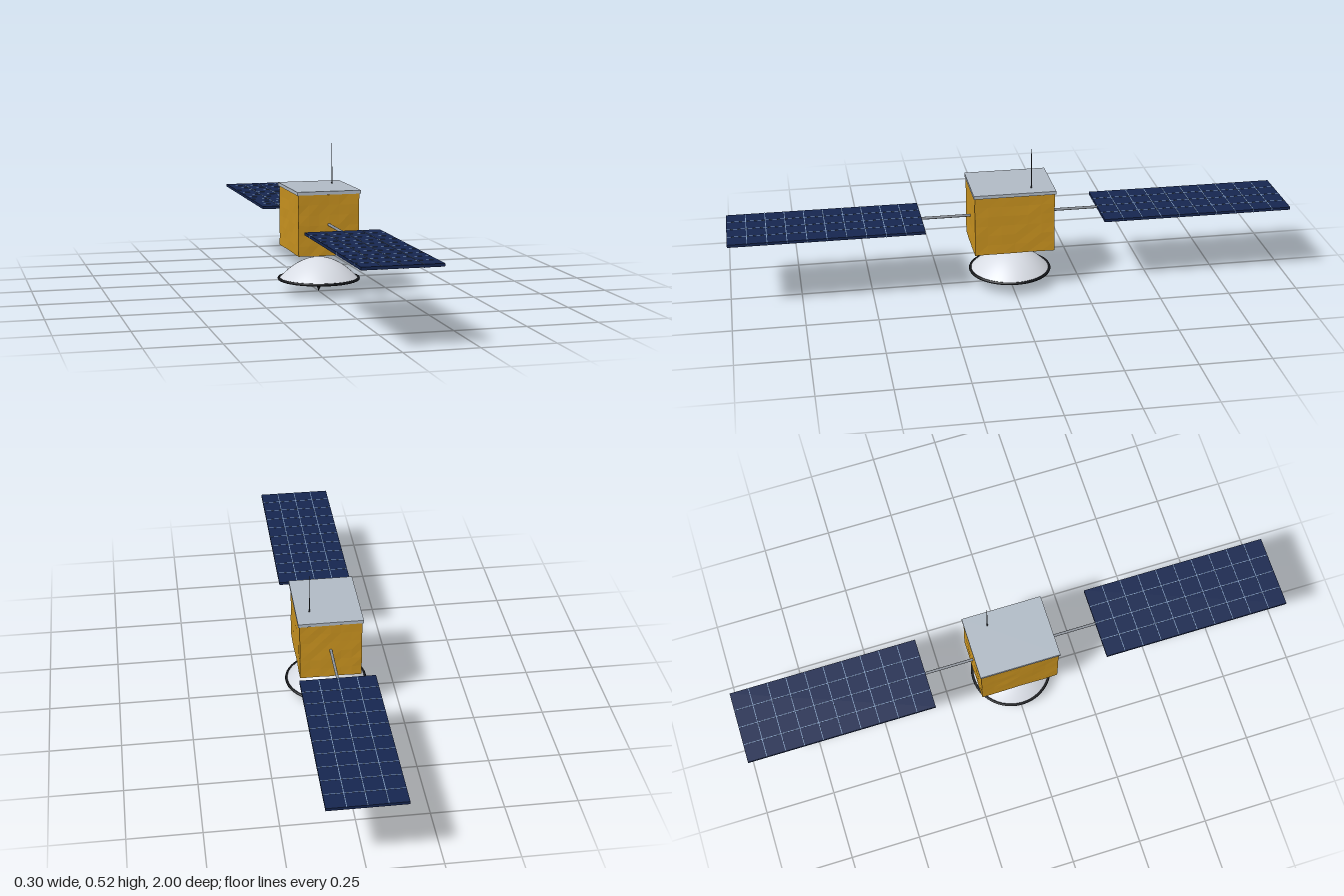
import * as THREE from 'three';

const mat = (color, extra = {}) => {
  const m = new THREE.MeshStandardMaterial({ color, ...extra });
  return m;
};
const gold = mat(0xc8921f, { flatShading: true });
const silver = mat(0xb0bac5);
const navy = mat(0x16264f);
const lineBlue = mat(0x7d97b8);
const white = mat(0xd8dce4, { side: THREE.DoubleSide });
const black = mat(0x14161a);
const steel = mat(0x8a9098);
const darkSteel = mat(0x44484e);

function add(parent, name, geometry, material, x = 0, y = 0, z = 0) {
  const mesh = new THREE.Mesh(geometry, material);
  mesh.name = name;
  mesh.position.set(x, y, z);
  parent.add(mesh);
  return mesh;
}

// Box wrapped in slightly crumpled foil; the offset depends on position only, so seams stay closed
function foilBox(w, h, d) {
  const g = new THREE.BoxGeometry(w, h, d, 6, 6, 6);
  const p = g.attributes.position;
  const v = new THREE.Vector3();
  const wobble = (a, b, c, s) => {
    const n = Math.sin(Math.round(a * 1000) * 12.99 + Math.round(b * 1000) * 78.23 + Math.round(c * 1000) * 37.72 + s) * 43758.5;
    return (n - Math.floor(n) - 0.5) * 0.002;
  };
  for (let i = 0; i < p.count; i++) {
    v.fromBufferAttribute(p, i);
    p.setXYZ(i, v.x + wobble(v.x, v.y, v.z, 1), v.y + wobble(v.x, v.y, v.z, 2), v.z + wobble(v.x, v.y, v.z, 3));
  }
  g.computeVertexNormals();
  return g;
}

// One wing along +z: boom, panel and the cell grid on both faces
function solarWing(name) {
  const wing = new THREE.Group();
  wing.name = name;
  const y = 0.262, z0 = 0.318, z1 = 1, w = 0.264;
  const len = z1 - z0, mid = (z0 + z1) / 2;
  add(wing, 'boom', new THREE.CylinderGeometry(0.005, 0.005, 0.19, 12).rotateX(Math.PI / 2), steel, 0, y, 0.23);
  add(wing, 'solarPanel', new THREE.BoxGeometry(w, 0.01, len), navy, 0, y, mid);
  for (let i = 1; i < 4; i++) {
    add(wing, 'lengthwiseCellLine', new THREE.BoxGeometry(0.0025, 0.0115, len), lineBlue, -w / 2 + (w * i) / 4, y, mid);
  }
  for (let i = 1; i < 10; i++) {
    add(wing, 'crosswiseCellLine', new THREE.BoxGeometry(w, 0.0113, 0.0025), lineBlue, 0, y, z0 + (len * i) / 10);
  }
  return wing;
}

export function createModel() {
  const model = new THREE.Group();
  model.name = 'satellite';

  // Foil body and top plate
  add(model, 'foilBody', foilBox(0.219, 0.216, 0.284), gold, 0, 0.26, 0);
  add(model, 'topPlate', new THREE.BoxGeometry(0.23, 0.012, 0.292), silver, 0, 0.374, 0);

  // Whip antenna
  add(model, 'antennaBase', new THREE.CylinderGeometry(0.003, 0.003, 0.004, 10), darkSteel, 0.066, 0.382, -0.066);
  add(model, 'antenna', new THREE.CylinderGeometry(0.001, 0.002, 0.146, 8), darkSteel, 0.066, 0.452, -0.066);

  // Solar wings, front and back
  model.add(solarWing('frontSolarWing'));
  const back = solarWing('backSolarWing');
  back.rotation.y = Math.PI;
  model.add(back);

  // Parabolic dish opening downward, with rim and feed
  const dish = new THREE.Group();
  dish.name = 'dishAntenna';
  model.add(dish);
  const R = 0.142, apex = 0.124, rim = 0.048;
  const profile = [];
  for (let i = 0; i <= 14; i++) {
    const t = i / 14;
    profile.push(new THREE.Vector2(R * t, apex - (apex - rim) * t * t));
  }
  add(dish, 'reflector', new THREE.LatheGeometry(profile, 48), white);
  add(dish, 'rim', new THREE.TorusGeometry(R + 0.001, 0.005, 8, 48).rotateX(Math.PI / 2), black, 0, rim, 0);
  add(dish, 'feedStrut', new THREE.CylinderGeometry(0.0025, 0.0025, 0.086, 8), steel, 0, 0.081, 0);
  add(dish, 'feedHorn', new THREE.ConeGeometry(0.017, 0.038, 16).rotateX(Math.PI), black, 0, 0.019, 0);

  return model;
}
